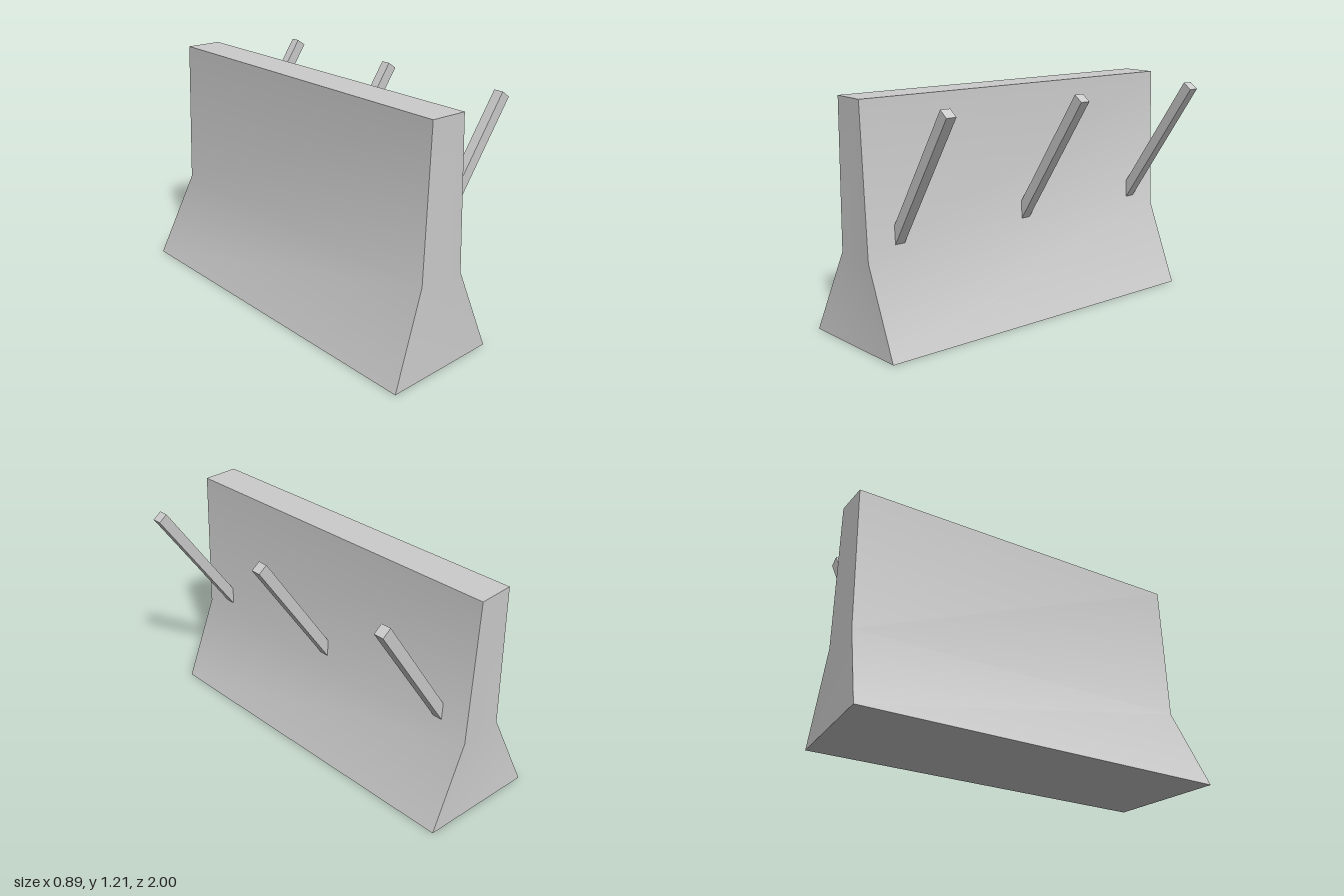
import * as THREE from 'three';
import { toCreasedNormals } from 'three/addons/utils/BufferGeometryUtils.js';

const material = new THREE.MeshStandardMaterial({ color: 0xcccccc });

// Prism along z from a counter-clockwise [x, y, halfDepth] profile;
// caps lists the triangles of the front end, mirrored for the back.
function prism(profile, caps) {
  const n = profile.length;
  const positions = [], index = [];
  for (const side of [1, -1]) {
    for (const [x, y, half] of profile) positions.push(x, y, side * half);
  }
  for (let i = 0; i < n; i++) {
    const j = (i + 1) % n;
    index.push(i, i + n, j + n, i, j + n, j);
  }
  for (const [a, b, c] of caps) index.push(a, b, c, a + n, c + n, b + n);
  const geometry = new THREE.BufferGeometry();
  geometry.setAttribute('position', new THREE.Float32BufferAttribute(positions, 3));
  geometry.setIndex(index);
  return toCreasedNormals(geometry, Math.PI / 6);
}

function addMesh(group, name, geometry) {
  const mesh = new THREE.Mesh(geometry, material);
  mesh.name = name;
  group.add(mesh);
  return mesh;
}

export function createModel() {
  const group = new THREE.Group();
  group.name = 'barrier';

  // Barrier wall: flared foot, slightly tapered stem, one foot edge longer
  const wall = prism([
    [-0.445, 0, 1], [0.19, 0, 0.95], [-0.002, 0.445, 0.95],
    [-0.03, 1.21, 0.95], [-0.222, 1.21, 0.95], [-0.25, 0.445, 0.95],
  ], [[0, 1, 5], [1, 2, 5], [2, 3, 5], [3, 4, 5]]);
  addMesh(group, 'barrierWall', wall);

  // Three slanted bars, cut flush against the wall
  const half = 0.026;
  const bar = prism([
    [-0.006, 0.505, half], [0.442, 1.165, half],
    [0.396, 1.197, half], [-0.009, 0.6, half],
  ], [[0, 1, 2], [0, 2, 3]]);
  for (const z of [-0.775, 0, 0.773]) {
    addMesh(group, 'slantedBar', bar).position.z = z;
  }

  return group;
}
